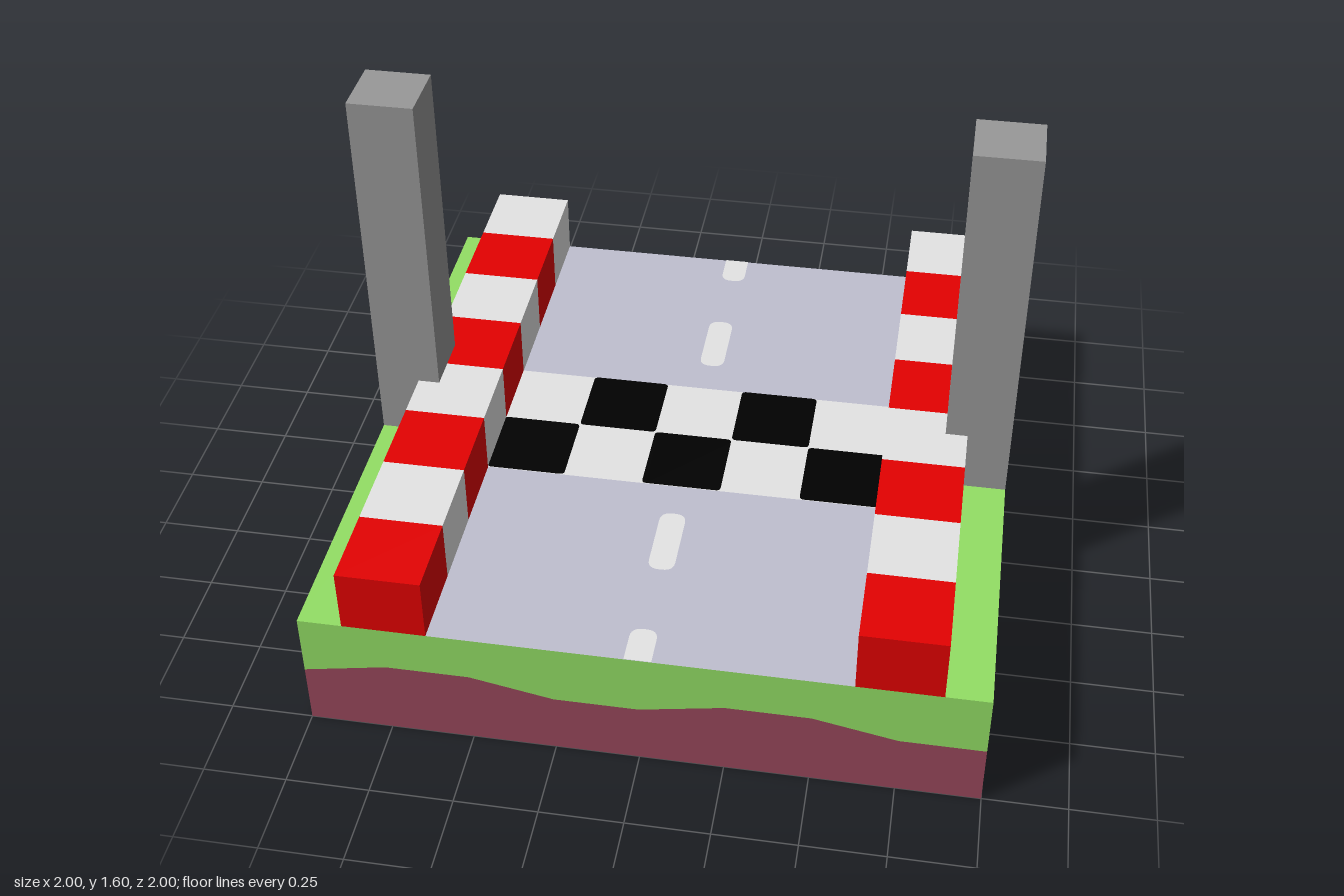
import * as THREE from 'three';

const mat = (name, color) => {
  const m = new THREE.MeshStandardMaterial({ color });
  m.name = name;
  return m;
};

export function createModel() {
  const grass = mat('grass green', 0x93df65);
  const soil = mat('soil brown', 0x99475b);
  const asphalt = mat('asphalt grey', 0xc0c0d0);
  const white = mat('off white', 0xe5e5e5);
  const red = mat('kerb red', 0xe40000);
  const black = mat('black', 0x000000);
  const stone = mat('pillar grey', 0x999999);

  const model = new THREE.Group();
  model.name = 'raceTrackTile';
  const add = (name, geometry, material, x = 0, y = 0, z = 0, parent = model) => {
    const mesh = new THREE.Mesh(geometry, material);
    mesh.name = name;
    mesh.position.set(x, y, z);
    parent.add(mesh);
    return mesh;
  };
  const flat = (w, d) => new THREE.PlaneGeometry(w, d).rotateX(-Math.PI / 2);

  // Flat patch from z0 to z1 with its own corner radius at the back and front
  const patch = (halfWidth, z0, z1, back, front) => {
    const w = halfWidth, s = new THREE.Shape();
    s.moveTo(-w, -z1 + front);
    s.quadraticCurveTo(-w, -z1, -w + front, -z1);
    s.lineTo(w - front, -z1);
    s.quadraticCurveTo(w, -z1, w, -z1 + front);
    s.lineTo(w, -z0 - back);
    s.quadraticCurveTo(w, -z0, w - back, -z0);
    s.lineTo(-w + back, -z0);
    s.quadraticCurveTo(-w, -z0, -w, -z0 - back);
    return new THREE.ShapeGeometry(s, 6).rotateX(-Math.PI / 2);
  };

  const TOP = 0.4, ROAD = 0.62, MARK = TOP + 0.002;

  // Four side walls, each split into soil and grass along a wavy line
  const wave = [[-1, 0.2], [-0.75, 0.25], [-0.5, 0.25], [-0.25, 0.2], [0, 0.2],
    [0.25, 0.25], [0.5, 0.25], [0.75, 0.2], [1, 0.2]].map(([x, y]) => new THREE.Vector2(x, y));
  const wall = (y) => new THREE.ShapeGeometry(
    new THREE.Shape([...wave, new THREE.Vector2(1, y), new THREE.Vector2(-1, y)]));
  for (let i = 0; i < 4; i++) {
    const side = new THREE.Group();
    side.name = 'baseSide';
    side.rotation.y = i * Math.PI / 2;
    add('soilSide', wall(0), soil, 0, 0, 1, side);
    add('grassSide', wall(TOP), grass, 0, 0, 1, side);
    model.add(side);
  }
  add('baseUnderside', flat(2, 2).rotateX(Math.PI), black);

  // Road surface between two grass verges
  add('road', flat(2 * ROAD, 2), asphalt, 0, TOP, 0);
  for (const s of [-1, 1]) add('grassVerge', flat(1 - ROAD, 2), grass, s * (1 + ROAD) / 2, TOP, 0);

  // Finish line: white band with black tiles in two staggered rows
  const tile = 2 * ROAD / 5;
  add('finishBand', flat(2 * ROAD, 0.5), white, 0, MARK, 0);
  for (const i of [-2, -1, 0, 1, 2])
    add('finishTile', patch(tile / 2, -0.125, 0.125, 0.015, 0.015), black,
      i * tile, MARK + 0.002, i % 2 ? -0.125 : 0.125);

  // Rounded lane dashes, cut in half at the tile edges
  const END = 0.036;
  for (const [z0, z1, back, front] of [[-1, -0.875, 0, END], [-0.625, -0.375, END, END],
    [0.375, 0.625, END, END], [0.875, 1, END, 0]])
    add('laneDash', patch(0.04, z0, z1, back, front), white, 0, MARK, 0);

  // Striped kerb blocks and a pillar on each side
  for (const s of [-1, 1]) {
    for (let i = 0; i < 8; i++)
      add('kerbBlock', new THREE.BoxGeometry(0.25, 0.2, 0.25), i % 2 ? white : red,
        s * 0.742, TOP + 0.1, 0.875 - i * 0.25);
    add('pillar', new THREE.BoxGeometry(0.2, 1.2, 0.2), stone, s * 0.9, TOP + 0.6, 0);
  }

  return model;
}
